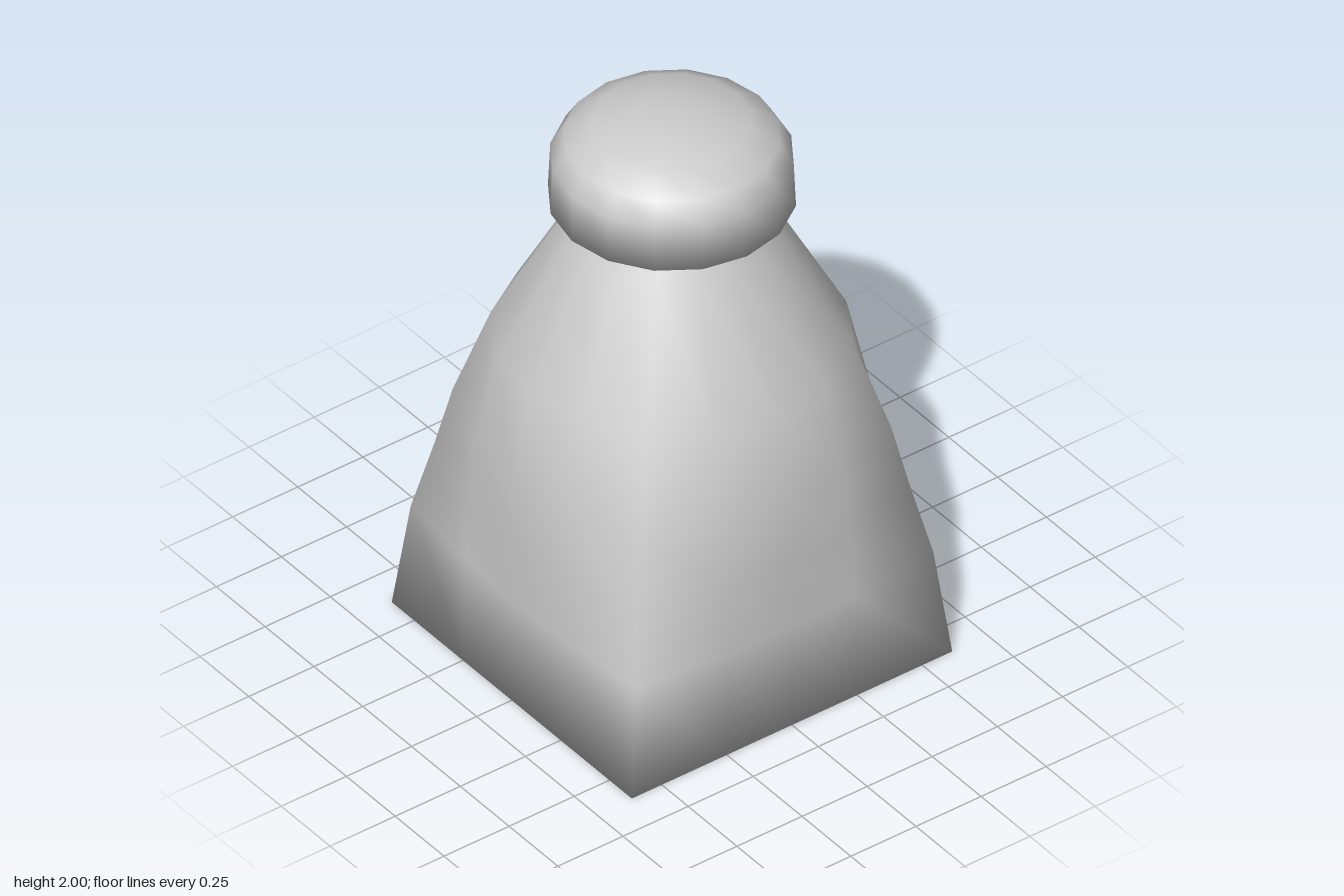
import * as THREE from 'three';
import { mergeVertices } from 'three/addons/utils/BufferGeometryUtils.js';

const SIDES = 16;
const material = new THREE.MeshStandardMaterial({ color: 0xcccccc });

// Weld a lathe's seam and poles so its normals run smoothly all round.
function weld(geometry) {
  geometry.deleteAttribute('uv');
  geometry.deleteAttribute('normal');
  const welded = mergeVertices(geometry, 1e-4);
  welded.computeVertexNormals();
  return welded;
}

function lathe(points) {
  return new THREE.LatheGeometry(points.map(([r, y]) => new THREE.Vector2(r, y)), SIDES);
}

// Body: square foot morphing into a round neck.
// Each ring is [half width, height, squareness].
function bodyGeometry() {
  const rings = [
    [0, 0, 1], [0.615, 0, 1], [0.615, 0.38, 0.77], [0.614, 0.62, 0.5],
    [0.61, 0.85, 0.28], [0.55, 1.16, 0.06], [0.325, 1.58, 0], [0.23, 1.68, 0], [0.22, 1.75, 0], [0, 1.75, 0],
  ];
  const geometry = lathe(rings);
  const p = geometry.attributes.position;
  for (let i = 0; i < p.count; i++) {
    const square = rings[i % rings.length][2];
    const x = p.getX(i), z = p.getZ(i);
    const reach = Math.max(Math.abs(x), Math.abs(z));
    if (reach < 1e-6) continue;
    const k = 1 + square * (Math.hypot(x, z) / reach - 1);
    p.setX(i, x * k);
    p.setZ(i, z * k);
  }
  return weld(geometry);
}

// Cap: domed stopper with a slightly bulging underside.
function capGeometry() {
  return weld(lathe([
    [0, 1.665], [0.22, 1.67], [0.385, 1.68], [0.378, 1.84],
    [0.335, 1.91], [0.245, 1.965], [0.12, 1.99], [0, 2],
  ]));
}

export function createModel() {
  const model = new THREE.Group();
  model.name = 'bottle';
  const parts = { body: bodyGeometry(), cap: capGeometry() };
  for (const [name, geometry] of Object.entries(parts)) {
    const mesh = new THREE.Mesh(geometry, material);
    mesh.name = name;
    model.add(mesh);
  }
  return model;
}
